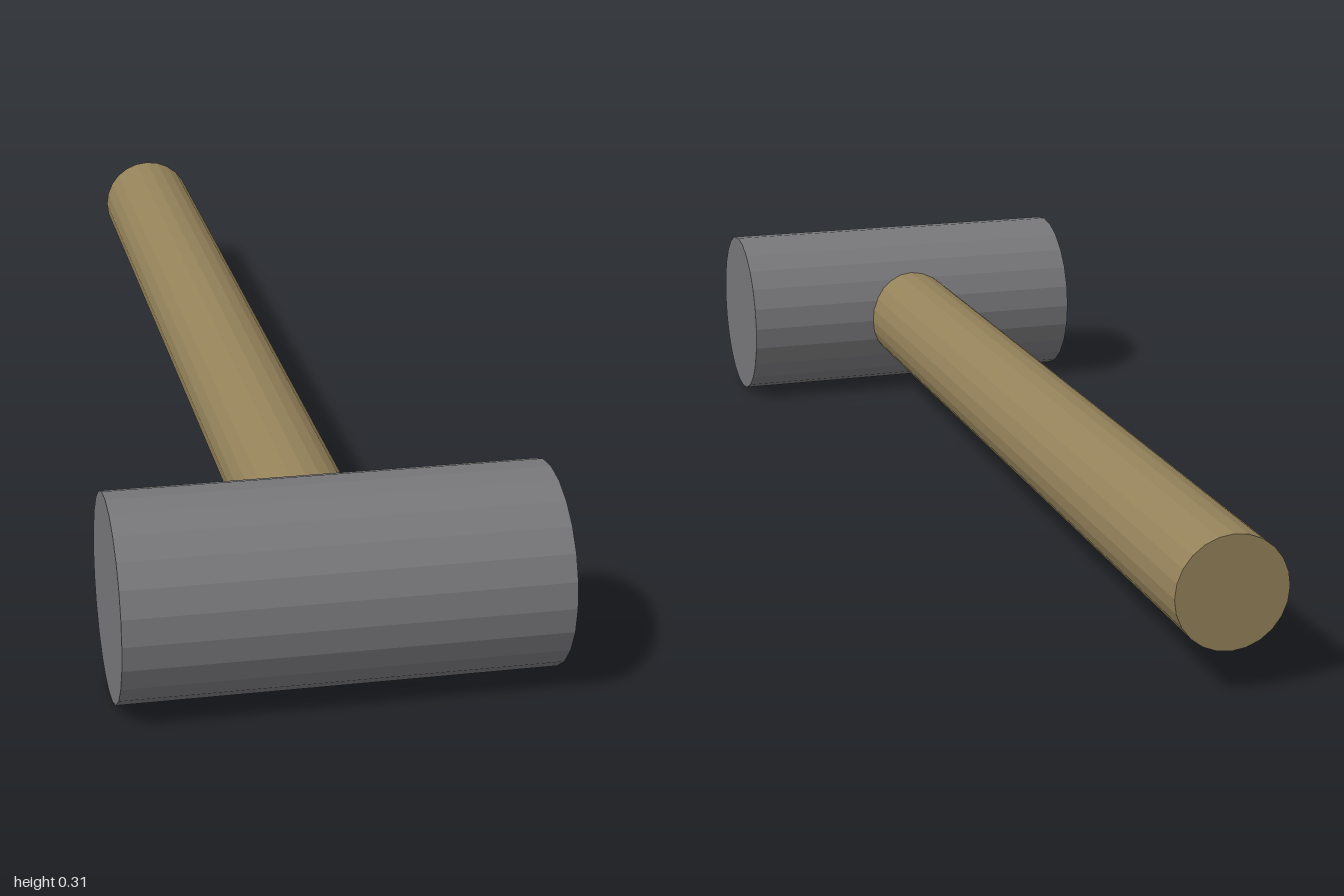
import * as THREE from 'three';

const HEAD_RADIUS = 0.157;
const HEAD_LENGTH = 0.666;
const HANDLE_RADIUS = 0.089;
const HEAD_Z = 1 - HEAD_RADIUS;

// Faceted 24-sided solid cylinder
function rod(name, radius, length, color) {
  const mesh = new THREE.Mesh(
    new THREE.CylinderGeometry(radius, radius, length, 24),
    new THREE.MeshStandardMaterial({ color, flatShading: true })
  );
  mesh.name = name;
  return mesh;
}

export function createModel() {
  const mallet = new THREE.Group();
  mallet.name = 'mallet';

  // Head lies across x at the front
  const head = rod('head', HEAD_RADIUS, HEAD_LENGTH, 0x77777a);
  head.rotation.z = Math.PI / 2;
  head.position.set(0, HEAD_RADIUS, HEAD_Z);

  // Handle runs from the middle of the head to the back
  const handleLength = HEAD_Z + 1;
  const handle = rod('handle', HANDLE_RADIUS, handleLength, 0x94825a);
  handle.rotation.x = Math.PI / 2;
  handle.position.set(0, HEAD_RADIUS, HEAD_Z - handleLength / 2);

  mallet.add(head, handle);
  return mallet;
}
